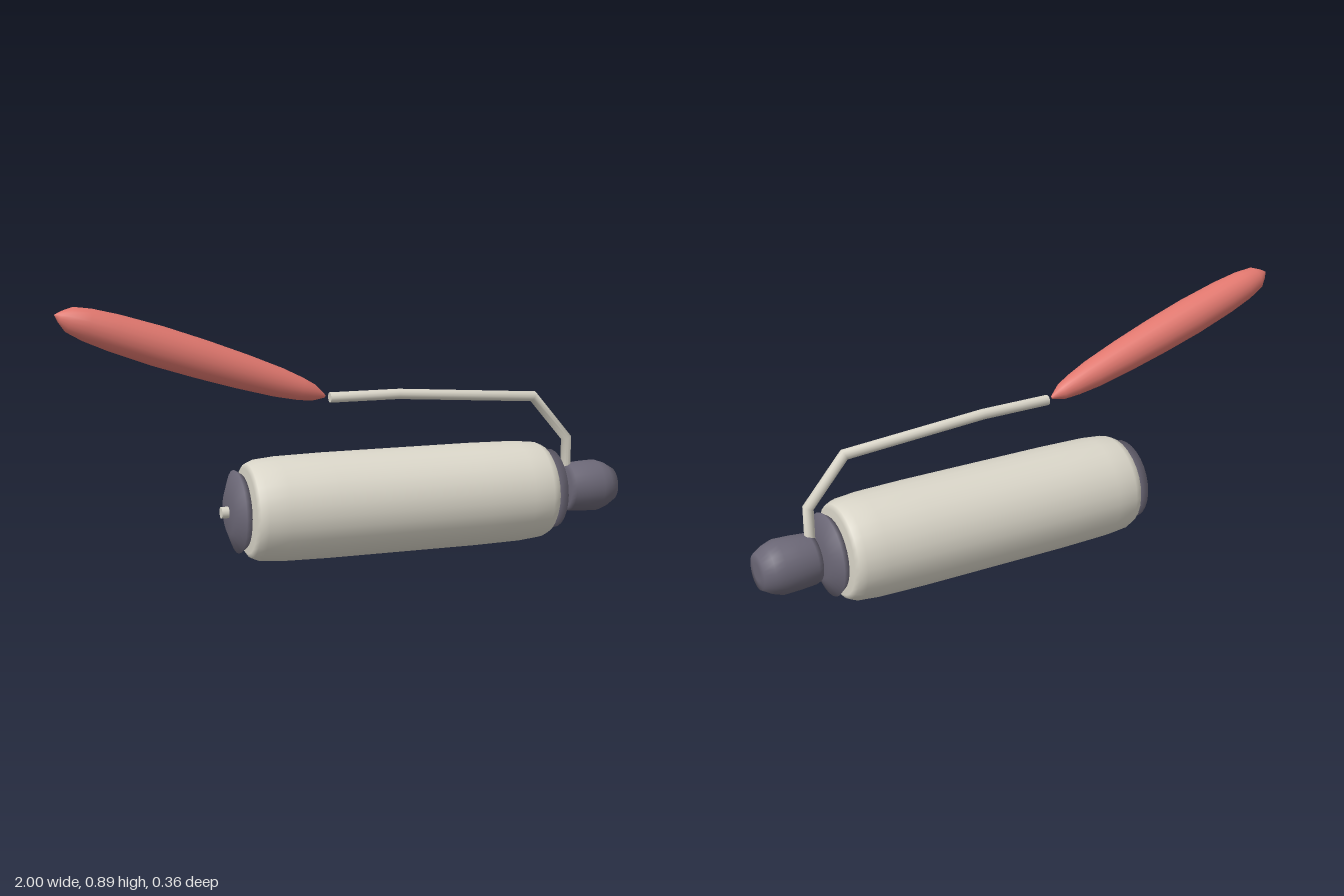
import * as THREE from 'three';

const AXIS_Y = 0.184;

function mat(name, color) {
  const m = new THREE.MeshStandardMaterial({ color });
  m.name = name;
  return m;
}

// Turned part: profile of [distance along axis, radius] pairs
function turned(name, profile, material, sides) {
  const pts = profile.map(([d, r]) => new THREE.Vector2(r, d));
  const mesh = new THREE.Mesh(new THREE.LatheGeometry(pts, sides), material);
  mesh.name = name;
  return mesh;
}

// Turned part lying along x on the roller axis
function onAxis(name, profile, material, sides = 28) {
  const mesh = turned(name, profile, material, sides);
  mesh.rotation.z = -Math.PI / 2;
  mesh.position.y = AXIS_Y;
  return mesh;
}

// Round rod along a polyline in the xy plane, with mitred bends and closed ends
function bentRod(path, radius, sides) {
  const p = path.map(([x, y]) => new THREE.Vector2(x, y));
  const pos = [], idx = [];
  p.forEach((c, i) => {
    const a = p[Math.max(i - 1, 0)], b = p[Math.min(i + 1, p.length - 1)];
    const dIn = (i ? c.clone().sub(a) : b.clone().sub(c)).normalize();
    const dOut = (i < p.length - 1 ? b.clone().sub(c) : dIn.clone()).normalize();
    const t = dIn.clone().add(dOut).normalize();
    const stretch = 1 / t.dot(dIn);
    for (let k = 0; k < sides; k++) {
      const w = (k / sides) * Math.PI * 2;
      const u = Math.cos(w) * radius * stretch;
      pos.push(c.x - t.y * u, c.y + t.x * u, Math.sin(w) * radius);
    }
  });
  for (let i = 0; i < p.length - 1; i++) {
    for (let k = 0; k < sides; k++) {
      const a = i * sides + k, b = i * sides + (k + 1) % sides;
      idx.push(a, b, a + sides, b, b + sides, a + sides);
    }
  }
  // End discs with their own vertices
  for (const end of [0, p.length - 1]) {
    const base = pos.length / 3;
    pos.push(...pos.slice(end * sides * 3, (end + 1) * sides * 3));
    for (let k = 1; k < sides - 1; k++) {
      if (end) idx.push(base, base + k, base + k + 1);
      else idx.push(base, base + k + 1, base + k);
    }
  }
  const g = new THREE.BufferGeometry();
  g.setAttribute('position', new THREE.Float32BufferAttribute(pos, 3));
  g.setIndex(idx);
  g.computeVertexNormals();
  return g;
}

export function createModel() {
  const cream = mat('cream', 0xd9d5c8);
  const slate = mat('slate', 0x6b6776);
  const coral = mat('coral', 0xe0776e);
  const model = new THREE.Group();
  model.name = 'paintRoller';

  // Roller sleeve
  model.add(onAxis('rollerSleeve', [
    [-0.38, 0], [-0.38, 0.145], [-0.37, 0.16], [-0.345, 0.171], [-0.27, 0.178], [-0.1, 0.181],
    [0.445, 0.181], [0.615, 0.178], [0.69, 0.171], [0.715, 0.16], [0.725, 0.145], [0.725, 0],
  ], cream));

  // End caps, mirrored about the sleeve's middle
  for (const [name, x, s] of [['leftEndCap', 0.735, 1], ['rightEndCap', -0.39, -1]]) {
    const cap = [[0, 0], [0, 0.125], [0.023, 0.141], [0.05, 0.075], [0.05, 0]].map(([d, r]) => [x + s * d, r]);
    model.add(onAxis(name, s > 0 ? cap : cap.reverse(), slate));
  }

  // Axle
  const axle = new THREE.Mesh(new THREE.CylinderGeometry(0.02, 0.02, 1.28, 12), cream);
  axle.name = 'axle';
  axle.rotation.z = -Math.PI / 2;
  axle.position.set(0.175, AXIS_Y, 0);
  model.add(axle);

  // Knob at the frame end
  model.add(onAxis('knob', [
    [0.803, 0], [0.803, 0.08], [0.82, 0.086], [0.87, 0.09], [0.93, 0.092],
    [0.965, 0.08], [0.998, 0.06], [1, 0.03], [1, 0],
  ], slate));

  // Bent wire frame
  const frame = new THREE.Mesh(bentRod(
    [[-0.08, 0.555], [0.17, 0.555], [0.68, 0.521], [0.814, 0.365], [0.814, 0.19]], 0.018, 12), cream);
  frame.name = 'wireFrame';
  model.add(frame);

  // Handle, from the far tip down to the frame
  const handle = turned('handle', [
    [0, 0], [0.02, 0.02], [0.05, 0.042], [0.11, 0.054], [0.2, 0.062], [0.35, 0.067], [0.5, 0.065],
    [0.65, 0.059], [0.78, 0.05], [0.86, 0.039], [0.91, 0.028], [0.953, 0.005], [0.953, 0],
  ], coral, 20);
  handle.position.set(-1, 0.866, 0);
  handle.quaternion.setFromUnitVectors(
    new THREE.Vector3(0, 1, 0), new THREE.Vector3(0.903, -0.306, 0).normalize());
  model.add(handle);

  return model;
}
